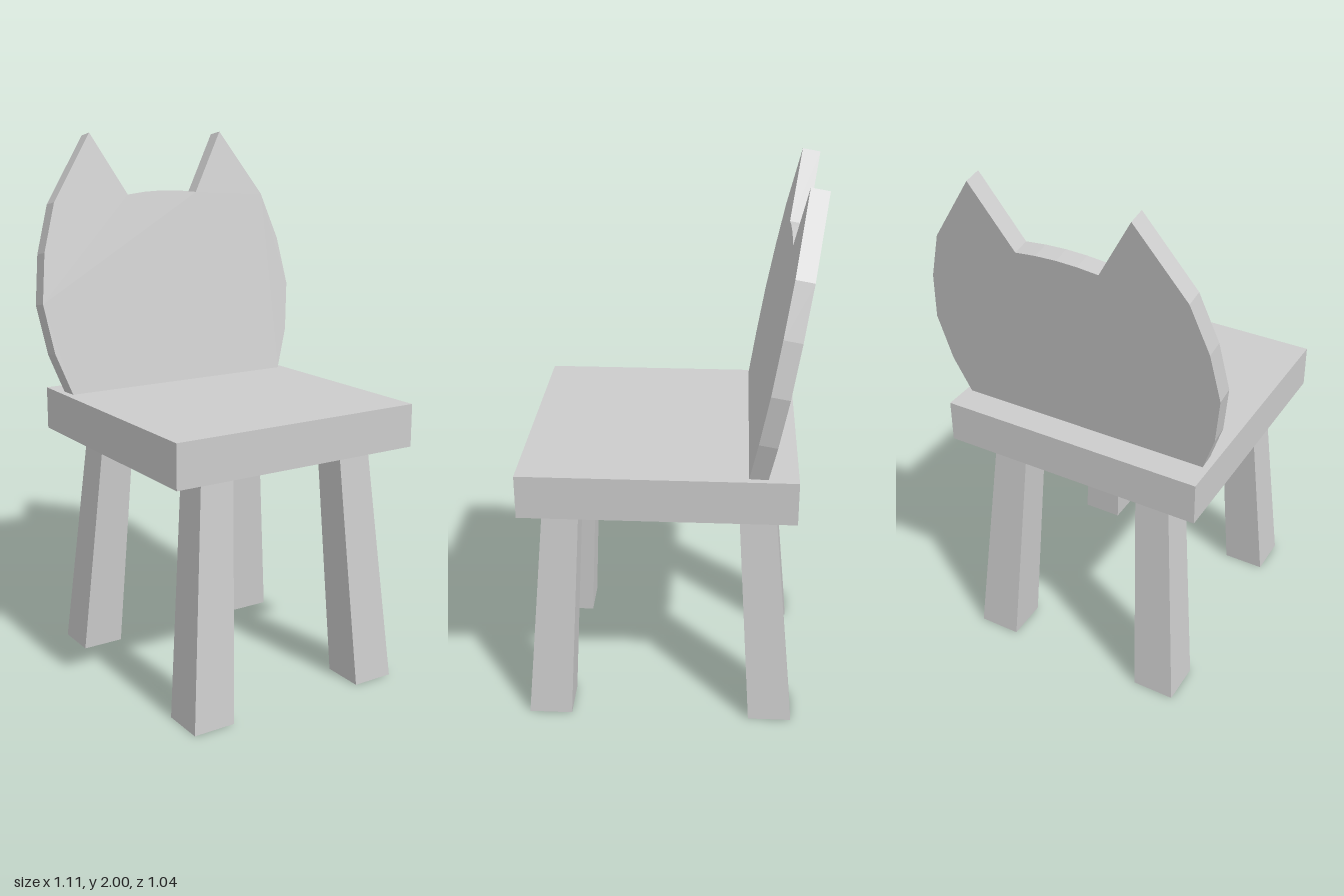
import * as THREE from 'three';

const material = new THREE.MeshStandardMaterial({ color: 0xcccccc, flatShading: true });

const SEAT_BOTTOM = 0.885;
const SEAT_TOP = 1.045;

function addMesh(group, geometry, name) {
  const mesh = new THREE.Mesh(geometry, material);
  mesh.name = name;
  group.add(mesh);
  return mesh;
}

// Splayed square leg: narrower at the top and leaning in under the seat
function legGeometry(foot, top) {
  const g = new THREE.BoxGeometry(1, SEAT_BOTTOM, 1);
  g.translate(0, SEAT_BOTTOM / 2, 0);
  const p = g.attributes.position;
  for (let i = 0; i < p.count; i++) {
    const upper = p.getY(i) > 0.1;
    const [cx, cz] = upper ? top : foot;
    const width = upper ? 0.13 : 0.16;
    p.setX(i, cx + p.getX(i) * width);
    p.setZ(i, cz + p.getZ(i) * width);
  }
  g.computeVertexNormals();
  return g;
}

// Backrest outline with two pointed ears, measured upward from the seat top
function backrestShape(tilt) {
  const half = [
    [0.465, 1.03], [0.47, 1.045], [0.525, 1.2], [0.553, 1.385], [0.525, 1.57],
    [0.465, 1.75], [0.291, 2.0], [0.153, 1.768], [0.077, 1.776],
  ];
  const mirrored = half.map(([x, y]) => [-x, y]).reverse();
  const outline = [...half, [0, 1.779], ...mirrored];
  return new THREE.Shape(
    outline.map(([x, y]) => new THREE.Vector2(x, (y - SEAT_TOP) / Math.cos(tilt)))
  );
}

export function createModel() {
  const model = new THREE.Group();
  model.name = 'chair';

  // Seat slab
  const seat = addMesh(model, new THREE.BoxGeometry(0.995, SEAT_TOP - SEAT_BOTTOM, 0.972), 'seat');
  seat.position.set(-0.003, (SEAT_TOP + SEAT_BOTTOM) / 2, 0.029);

  // Four legs
  const sides = [['left', 0.345, 0.285], ['right', -0.36, -0.3]];
  const rows = [['front', 0.44, 0.38], ['back', -0.39, -0.32]];
  for (const [side, footX, topX] of sides) {
    for (const [row, footZ, topZ] of rows) {
      const name = row + side[0].toUpperCase() + side.slice(1) + 'Leg';
      addMesh(model, legGeometry([footX, footZ], [topX, topZ]), name);
    }
  }

  // Backrest panel leaning backward
  const tilt = Math.atan2(0.17, 0.955);
  const thickness = 0.065;
  const panel = new THREE.ExtrudeGeometry(backrestShape(tilt), { depth: thickness, bevelEnabled: false });
  panel.translate(0, 0, -thickness);
  const backrest = addMesh(model, panel, 'backrest');
  backrest.rotation.x = -tilt;
  backrest.position.set(-0.002, SEAT_TOP, -0.286);

  return model;
}
